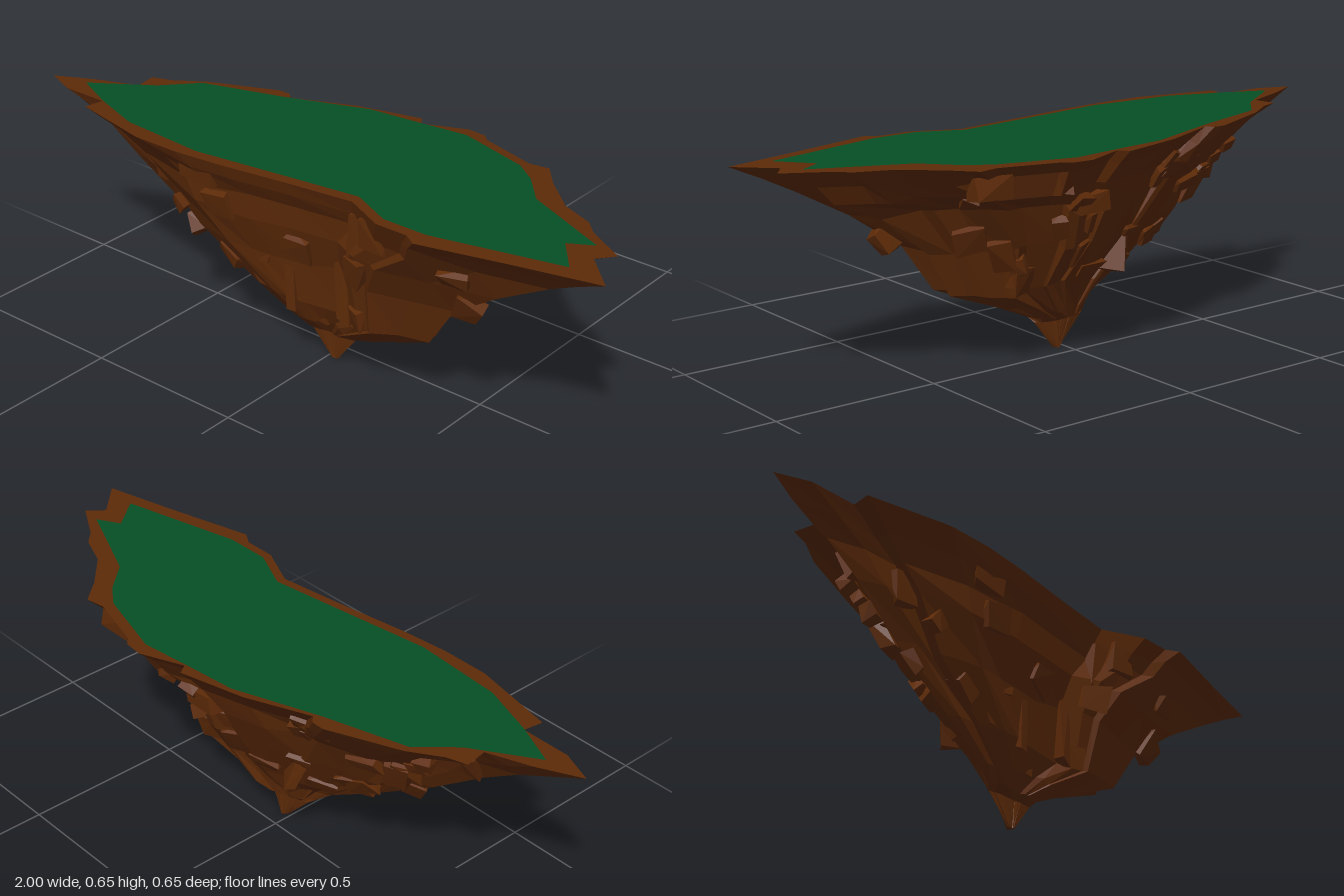
import * as THREE from 'three';
import { ConvexGeometry } from 'three/addons/geometries/ConvexGeometry.js';

const TOP = 0.645;

// Rim of the rock, (x, z), from the left tip round the back to the front
const RIM = [
  [-1, 0.16], [-0.88, 0.1], [-0.75, 0.05], [-0.76, -0.02], [-0.7, -0.04], [-0.61, -0.1],
  [-0.4, -0.19], [-0.36, -0.19], [-0.34, -0.17], [-0.15, -0.25], [0.05, -0.3], [0.07, -0.27],
  [0.2, -0.325], [0.26, -0.32], [0.28, -0.3], [0.46, -0.25], [0.52, -0.26], [0.58, -0.19],
  [0.68, -0.1], [0.78, -0.06], [0.82, -0.02], [0.94, 0.05], [0.9, 0.1], [1, 0.2],
  [0.75, 0.26], [0.5, 0.325], [0.46, 0.3], [0.36, 0.3], [0.23, 0.24], [0, 0.27],
  [-0.2, 0.3], [-0.35, 0.315], [-0.5, 0.315], [-0.76, 0.26], [-0.75, 0.2], [-0.9, 0.2],
];

// Edge of the grass
const GRASS = [
  [-0.88, 0.14], [-0.7, 0.02], [-0.61, -0.08], [-0.36, -0.155], [-0.1, -0.25], [0.05, -0.265],
  [0.22, -0.285], [0.45, -0.22], [0.52, -0.17], [0.6, -0.08], [0.87, 0.04], [0.8, 0.08],
  [0.88, 0.18], [0.5, 0.27], [0.36, 0.27], [0.23, 0.21], [0, 0.24], [-0.3, 0.28],
  [-0.58, 0.26], [-0.75, 0.2], [-0.87, 0.145],
];

// Cross-section extents going down: y, x min, x max, z min, z max
const LEVELS = [
  [TOP, -1, 1, -0.325, 0.325],
  [0.6, -0.9, 0.92, -0.285, 0.3],
  [0.55, -0.79, 0.84, -0.24, 0.272],
  [0.48, -0.68, 0.66, -0.185, 0.255],
  [0.36, -0.51, 0.52, -0.13, 0.21],
  [0.22, -0.29, 0.41, -0.06, 0.17],
  [0.14, -0.14, 0.2, -0.015, 0.135],
  [0.1, -0.09, 0.11, 0.01, 0.1],
  [0.085, -0.07, 0.1, 0.044, 0.07],
  [0, 0.01, 0.035, 0.046, 0.068],
];

// Hand-placed ledges and ribs: x, y, z, width, height, depth
const RIBS = [
  [0.23, 0.53, 0.205, 0.07, 0.22, 0.06], [0.14, 0.3, 0.15, 0.06, 0.28, 0.06],
  [0.3, 0.57, 0.235, 0.12, 0.13, 0.06], [-0.05, 0.3, 0.155, 0.04, 0.24, 0.06],
  [-0.15, 0.33, 0.165, 0.12, 0.04, 0.06], [-0.14, 0.24, 0.14, 0.12, 0.04, 0.06],
  [0, 0.18, 0.11, 0.12, 0.1, 0.05], [-0.3, 0.59, 0.265, 0.14, 0.1, 0.05],
  [0.1, 0.49, -0.175, 0.16, 0.07, 0.08], [0.45, 0.58, -0.195, 0.14, 0.08, 0.07],
  [-0.3, 0.57, -0.11, 0.2, 0.07, 0.06],
];

function seeded(s) {
  return () => {
    s = (s * 16807) % 2147483647;
    return s / 2147483647;
  };
}

// Rim point i squeezed into the extents of a level
function ringPoint(i, [y, x0, x1, z0, z1]) {
  const [x, z] = RIM[i % RIM.length];
  return new THREE.Vector3(
    THREE.MathUtils.mapLinear(x, -1, 1, x0, x1), y,
    THREE.MathUtils.mapLinear(z, -0.325, 0.325, z0, z1));
}

// Tapering faceted body, lofted from rim to tip; neighbours shift together as blocks
function bodyGeometry(rand) {
  const n = RIM.length, pos = [], idx = [];
  LEVELS.forEach((level, k) => {
    const rough = k > 0 && k < 7;
    const cx = (level[1] + level[2]) / 2, cz = (level[3] + level[4]) / 2;
    let f = 1, dy = 0;
    for (let i = 0; i < n; i++) {
      const p = ringPoint(i, level);
      if (rough && (i + k) % 3 === 0) {
        f = 1.02 - 0.07 * rand();
        dy = (rand() - 0.5) * 0.03;
      }
      pos.push(cx + (p.x - cx) * f, p.y + dy, cz + (p.z - cz) * f);
    }
  });
  for (let k = 0; k < LEVELS.length - 1; k++) {
    for (let i = 0; i < n; i++) {
      const a = k * n + i, b = k * n + (i + 1) % n;
      idx.push(a, b, a + n, b, b + n, a + n);
    }
  }
  // Close the tip
  const last = (LEVELS.length - 1) * n;
  for (let i = 1; i < n - 1; i++) idx.push(last, last + i, last + i + 1);
  const g = new THREE.BufferGeometry();
  g.setAttribute('position', new THREE.Float32BufferAttribute(pos, 3));
  g.setIndex(idx);
  return g;
}

// Irregular block with its corners pushed about
function rockGeometry(w, h, d, rand) {
  const pts = [];
  for (const x of [-0.5, 0.5]) for (const y of [-0.5, 0.5]) for (const z of [-0.5, 0.5]) {
    const j = () => 0.5 + 0.5 * rand();
    pts.push(new THREE.Vector3(x * w * j(), y * h * j(), z * d * j()));
  }
  return new ConvexGeometry(pts);
}

// Flat upward-facing polygon
function flatGeometry(points) {
  const shape = new THREE.Shape(points.map(([x, z]) => new THREE.Vector2(x, -z)));
  return new THREE.ShapeGeometry(shape).rotateX(-Math.PI / 2);
}

export function createModel() {
  const rand = seeded(4721);
  const island = new THREE.Group();
  island.name = 'floatingIsland';
  const earth = new THREE.MeshStandardMaterial({ color: 0x5e2b08, flatShading: true });
  const green = new THREE.MeshStandardMaterial({ color: 0x055024 });

  const add = (parent, name, geometry, material) => {
    const mesh = new THREE.Mesh(geometry, material);
    mesh.name = name;
    parent.add(mesh);
    return mesh;
  };

  add(island, 'rockBody', bodyGeometry(rand), earth);
  add(island, 'rockRim', flatGeometry(RIM), earth).position.y = TOP;
  add(island, 'grass', flatGeometry(GRASS), green).position.y = TOP + 0.003;

  const rocks = new THREE.Group();
  rocks.name = 'outcrops';
  island.add(rocks);

  // Ribs and ledges
  for (const [x, y, z, w, h, d] of RIBS) {
    add(rocks, 'ledge', rockGeometry(w, h, d, rand), earth).position.set(x, y, z);
  }

  // Shallow outcrops lying on the slopes
  for (let k = 0; k < 40; k++) {
    const i = Math.floor(rand() * RIM.length);
    const l = 2 + Math.floor(rand() * 3);
    const p = ringPoint(i, LEVELS[l]);
    const along = ringPoint(i + 1, LEVELS[l]).sub(p).normalize();
    const down = ringPoint(i, LEVELS[l + 1]).sub(p);
    const out = new THREE.Vector3().crossVectors(along, down).normalize();
    const up = new THREE.Vector3().crossVectors(out, along);
    const w = 0.05 + 0.08 * rand(), h = 0.05 + 0.08 * rand();
    const rock = add(rocks, 'outcrop', rockGeometry(w, h, 0.05, rand), earth);
    rock.position.copy(p).addScaledVector(down, 0.1 + 0.8 * rand()).addScaledVector(out, -0.008);
    rock.quaternion.setFromRotationMatrix(new THREE.Matrix4().makeBasis(along, up, out));
    rock.rotateZ((rand() - 0.5) * 0.8);
  }
  return island;
}
